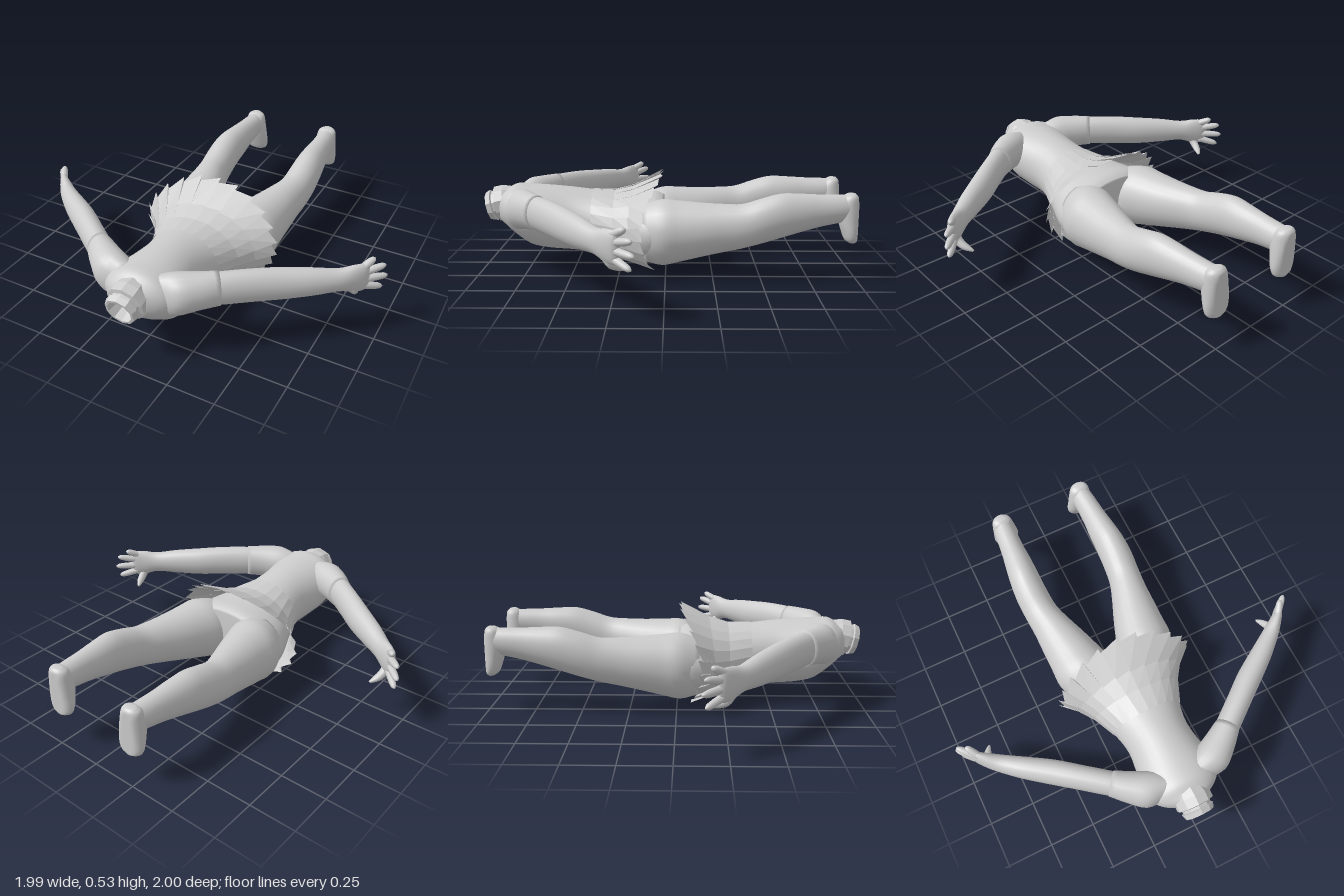
import * as THREE from 'three';

const grey = new THREE.MeshStandardMaterial({ color: 0xcccccc, side: THREE.DoubleSide });
grey.name = 'lightGrey';

function surface(pos, index) {
  const g = new THREE.BufferGeometry();
  g.setAttribute('position', new THREE.Float32BufferAttribute(pos, 3));
  g.setIndex(index);
  g.computeVertexNormals();
  return g;
}

function faceted(geometry) {
  const g = geometry.toNonIndexed();
  g.computeVertexNormals();
  return g;
}

// Smooth closed loft: sections are [x, y, z, half width, half height], rings lie square to dir.
function loft(sections, dir, sides = 20, steps = 4, up = [0, 1, 0]) {
  const T = new THREE.Vector3(...dir).normalize();
  const U = new THREE.Vector3(...up).cross(T).normalize();
  const V = T.clone().cross(U);
  const centres = new THREE.CatmullRomCurve3(sections.map((s) => new THREE.Vector3(s[0], s[1], s[2])), false, 'catmullrom');
  const radii = new THREE.CatmullRomCurve3(sections.map((s) => new THREE.Vector3(s[3], s[4], 0)), false, 'catmullrom');
  const rows = (sections.length - 1) * steps;
  const pos = [], index = [];
  for (let i = 0; i <= rows; i++) {
    const c = centres.getPoint(i / rows), r = radii.getPoint(i / rows);
    for (let j = 0; j < sides; j++) {
      const a = (j / sides) * Math.PI * 2;
      const p = c.clone().addScaledVector(U, Math.cos(a) * r.x).addScaledVector(V, Math.sin(a) * r.y);
      pos.push(p.x, p.y, Math.max(p.z, -1));
      if (i < rows) {
        const k = i * sides + j, l = i * sides + ((j + 1) % sides);
        index.push(k, l, l + sides, k, l + sides, k + sides);
      }
    }
  }
  const first = pos.length / 3, last = rows * sides;
  for (const t of [0, 1]) { const c = centres.getPoint(t); pos.push(c.x, c.y, Math.max(c.z, -1)); }
  for (let j = 0; j < sides; j++) {
    const n = (j + 1) % sides;
    index.push(first, n, j, first + 1, last + j, last + n);
  }
  return surface(pos, index);
}

// Flared pleated skirt, open at the front of the body
function skirtGeometry() {
  const rows = [
    [0.40, 0.262, 0.203, 0.177], [0.28, 0.247, 0.255, 0.187],
    [0.20, 0.25, 0.31, 0.21], [0.13, 0.27, 0.385, 0.262],
  ];
  const pleats = 20, span = THREE.MathUtils.degToRad(159), cols = pleats * 2;
  const pos = [], index = [];
  rows.forEach(([z, cy, rx, ry], i) => {
    const s = i / (rows.length - 1);
    for (let j = 0; j < cols; j++) {
      const fold = j % 2;
      const pleat = Math.floor(j / 2) + fold * 1.06;
      const a = -span + (2 * span * Math.min(pleat, pleats)) / pleats;
      const k = 1 + (fold ? 0.045 : -0.035) * s * s;
      const c = Math.cos(a);
      const sweep = (c > 0 ? 0.11 : 0.07) * c * c * Math.pow(s, 4);
      pos.push(Math.sin(a) * rx * k, cy + c * ry * k, z - sweep - (fold ? 0.012 : -0.008) * s * s);
      if (i < rows.length - 1 && j < cols - 1) {
        const q = i * cols + j;
        index.push(q, q + 1, q + cols + 1, q, q + cols + 1, q + cols);
      }
    }
  });
  return faceted(surface(pos, index));
}

export function createModel() {
  const model = new THREE.Group();
  const add = (name, geometry, parent = model) => {
    const m = new THREE.Mesh(geometry, grey);
    m.name = name;
    parent.add(m);
    return m;
  };

  // Torso, from neck base to hips
  add('torso', loft([
    [0, 0.345, 0.91, 0.085, 0.085], [0, 0.34, 0.87, 0.15, 0.105], [0, 0.33, 0.82, 0.19, 0.138],
    [0, 0.30, 0.74, 0.205, 0.165], [0, 0.285, 0.64, 0.187, 0.175], [0, 0.275, 0.52, 0.175, 0.175],
    [0, 0.26, 0.40, 0.198, 0.175], [0, 0.245, 0.28, 0.245, 0.182], [0, 0.23, 0.15, 0.30, 0.192],
    [0, 0.235, 0.06, 0.325, 0.185], [0, 0.24, 0.01, 0.29, 0.16],
  ], [0, 0, -1], 32));

  add('skirt', skirtGeometry());

  // Hollow neck with collar band and rim
  const neckProfile = [
    [0.085, -0.03], [0.1, 0.015], [0.1, 0.065], [0.08, 0.07], [0.078, 0.085],
    [0.088, 0.09], [0.078, 0.118], [0.065, 0.118], [0.052, 0.06], [0.001, 0.02],
  ].map(([r, h]) => new THREE.Vector2(r, h));
  const neck = add('neckCollar', faceted(new THREE.LatheGeometry(neckProfile, 10)));
  neck.position.set(0, 0.366, 0.866);
  neck.rotation.x = 1.79;

  for (const s of [1, -1]) {
    const side = new THREE.Group();
    side.name = s > 0 ? 'leftSide' : 'rightSide';
    model.add(side);
    const limb = (name, sections, dir, ...rest) => add(name,
      loft(sections.map(([x, ...r]) => [s * x, ...r]), [s * dir[0], dir[1], dir[2]], ...rest), side);

    // Shoulder with short sleeve, then arm
    const armDir = [0.79, 0, -0.61];
    limb('sleeve', [
      [0.08, 0.335, 0.79, 0.07, 0.11], [0.17, 0.36, 0.765, 0.095, 0.11],
      [0.26, 0.372, 0.71, 0.082, 0.098], [0.34, 0.375, 0.65, 0.066, 0.092],
    ], armDir);
    limb('arm', [
      [0.28, 0.375, 0.695, 0.06, 0.085], [0.36, 0.375, 0.635, 0.063, 0.088], [0.47, 0.372, 0.55, 0.063, 0.088],
      [0.58, 0.365, 0.465, 0.064, 0.084], [0.70, 0.36, 0.38, 0.057, 0.074], [0.80, 0.355, 0.305, 0.046, 0.062],
      [0.86, 0.35, 0.255, 0.036, 0.078], [0.905, 0.35, 0.215, 0.024, 0.078], [0.92, 0.35, 0.20, 0.008, 0.05],
    ], armDir);

    // Fingers fan out in a vertical plane
    const fingers = [
      [0.89, 0.405, 0.228, 0.93, 0.44, 0.165], [0.90, 0.375, 0.215, 0.978, 0.397, 0.135],
      [0.90, 0.335, 0.215, 0.99, 0.332, 0.125], [0.89, 0.30, 0.225, 0.975, 0.268, 0.14],
    ];
    for (const [x, y, z, X, Y, Z] of fingers) {
      const at = (t, r) => [x + (X - x) * t, y + (Y - y) * t, z + (Z - z) * t, r, r];
      limb('finger', [at(0, 0.02), at(0.5, 0.019), at(0.85, 0.015), at(1, 0.005)], [X - x, Y - y, Z - z], 10, 3);
    }
    limb('thumb', [
      [0.86, 0.315, 0.265, 0.025, 0.028], [0.865, 0.27, 0.235, 0.023, 0.025],
      [0.85, 0.245, 0.19, 0.019, 0.018], [0.83, 0.232, 0.155, 0.007, 0.007],
    ], [-0.25, -0.6, -0.8], 10, 3);

    // Leg
    limb('leg', [
      [0.17, 0.235, 0.12, 0.13, 0.15], [0.182, 0.24, 0.02, 0.162, 0.177], [0.198, 0.25, -0.08, 0.148, 0.163],
      [0.22, 0.264, -0.2, 0.127, 0.143], [0.24, 0.277, -0.3, 0.107, 0.129], [0.26, 0.292, -0.4, 0.093, 0.118],
      [0.268, 0.322, -0.5, 0.09, 0.119], [0.267, 0.35, -0.6, 0.085, 0.117], [0.261, 0.364, -0.7, 0.077, 0.102],
      [0.256, 0.375, -0.8, 0.066, 0.086], [0.25, 0.384, -0.9, 0.061, 0.075], [0.245, 0.39, -0.97, 0.055, 0.07],
    ], [0, 0, -1], 24);

    // Foot with flat sole
    limb('foot', [
      [0.247, 0.465, -0.965, 0.025, 0.02], [0.245, 0.445, -0.96, 0.052, 0.042], [0.243, 0.39, -0.955, 0.062, 0.06],
      [0.24, 0.32, -0.96, 0.069, 0.056], [0.238, 0.26, -0.967, 0.073, 0.044],
      [0.238, 0.22, -0.973, 0.062, 0.034], [0.238, 0.202, -0.98, 0.03, 0.018],
    ], [0, -1, 0], 20, 4, [0, 0, 1]);

    // Small collar flap on the chest
    const flap = add('collarFlap', new THREE.BoxGeometry(0.055, 0.012, 0.1), side);
    flap.position.set(s * 0.032, 0.212, 0.8);
    flap.rotation.set(-0.55, s * 0.35, 0);
  }
  return model;
}
